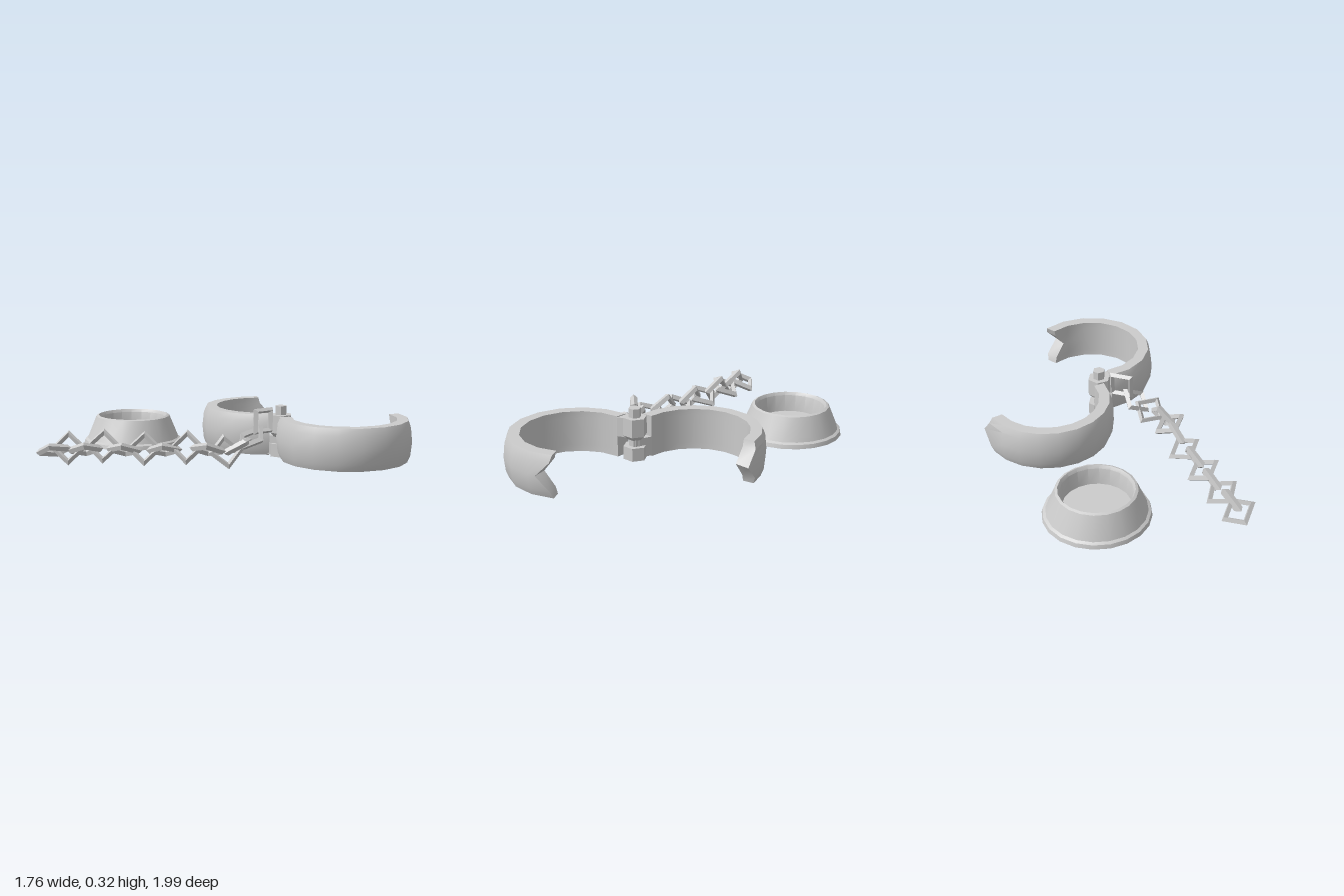
import * as THREE from 'three';
import { toCreasedNormals } from 'three/addons/utils/BufferGeometryUtils.js';

const material = new THREE.MeshStandardMaterial({ color: 0xcccccc });
const doubleSided = new THREE.MeshStandardMaterial({ color: 0xcccccc, side: THREE.DoubleSide });
const rad = THREE.MathUtils.degToRad;

function part(parent, name, geometry, crease = 0.5, mat = material) {
  const mesh = new THREE.Mesh(toCreasedNormals(geometry, crease), mat);
  mesh.name = name;
  parent.add(mesh);
  return mesh;
}

// Curved band swept from angle a0 to a1 (degrees); start and end shift the
// rows of its two end faces to make a notch or a point.
function cuffGeometry(cx, cz, a0, a1, start, end) {
  const ys = [0.015, 0.055, 0.137, 0.22, 0.26];
  const outer = [0.375, 0.391, 0.4, 0.391, 0.375];
  const rows = ys.length, ring = rows * 2, steps = 10;
  const pos = [], index = [];
  for (let i = 0; i <= steps; i++) {
    for (let j = 0; j < ring; j++) {
      const row = j < rows ? j : ring - 1 - j;
      const r = j < rows ? outer[row] : 0.31;
      let a = a0 + ((a1 - a0) * i) / steps;
      if (i === 0) a += start[row];
      if (i === steps) a += end[row];
      pos.push(cx + r * Math.cos(rad(a)), ys[row], cz + r * Math.sin(rad(a)));
    }
  }
  const quad = (a, b, c, d) => index.push(a, b, c, c, b, d);
  for (let i = 0; i < steps; i++)
    for (let j = 0; j < ring; j++) {
      const k = (j + 1) % ring;
      quad(i * ring + j, i * ring + k, (i + 1) * ring + j, (i + 1) * ring + k);
    }
  const last = steps * ring;
  for (let j = 0; j < rows - 1; j++) {
    const inA = ring - 1 - j, inB = ring - 2 - j;
    quad(inA, inB, j, j + 1);
    quad(last + j, last + j + 1, last + inA, last + inB);
  }
  const g = new THREE.BufferGeometry();
  g.setAttribute('position', new THREE.Float32BufferAttribute(pos, 3));
  g.setIndex(index);
  return g;
}

export function createModel() {
  const model = new THREE.Group();
  model.name = 'shackleAndBowl';

  // Open cuffs: one tip is notched, the other pointed to fit it
  const shackle = new THREE.Group();
  shackle.name = 'shackle';
  model.add(shackle);
  const flat = [0, 0, 0, 0, 0];
  part(shackle, 'frontCuff', cuffGeometry(0.515, 0.59, 18, 228, [0, 2, 14, 2, 0], flat));
  part(shackle, 'backCuff', cuffGeometry(0.52, -0.065, 132, 306, flat, [0, 2, 13, 2, 0]));

  // Hinge: lugs reaching from the cuffs to a six-sided pin
  const pin = new THREE.Vector2(0.32, 0.26);
  const lug = (name, x, z, y0, y1) => {
    const dx = pin.x - x, dz = pin.y - z;
    const m = part(shackle, name, new THREE.BoxGeometry(0.066, y1 - y0, Math.hypot(dx, dz) + 0.03));
    m.position.set((x + pin.x) / 2, (y0 + y1) / 2, (z + pin.y) / 2);
    m.rotation.y = Math.atan2(dx, dz);
  };
  lug('frontLug', 0.284, 0.334, 0.14, 0.255);
  lug('backLug', 0.289, 0.191, 0.02, 0.135);
  const hex = (name, rTop, rBottom, y0, y1) => {
    const m = part(shackle, name, new THREE.CylinderGeometry(rTop, rBottom, y1 - y0, 6));
    m.position.set(pin.x, (y0 + y1) / 2, pin.y);
    m.rotation.y = 0.25;
  };
  hex('hingePin', 0.037, 0.037, 0.03, 0.315);
  hex('upperCollar', 0.07, 0.07, 0.155, 0.262);
  hex('upperCollarTaper', 0.07, 0.045, 0.13, 0.155);
  hex('lowerNut', 0.07, 0.07, 0.012, 0.09);

  // Chain of square links, joined corner to corner with alternating roll
  const chain = new THREE.Group();
  chain.name = 'chain';
  model.add(chain);
  const path = [
    [0.17, 0.24, 0.26], [0.075, 0.15, 0.26], [-0.02, 0.11, 0.245], [-0.11, 0.09, 0.24],
    [-0.18, 0.1, 0.16], [-0.26, 0.11, 0.07], [-0.34, 0.09, -0.04], [-0.43, 0.1, -0.11],
    [-0.51, 0.09, -0.2], [-0.59, 0.11, -0.29], [-0.67, 0.09, -0.36], [-0.745, 0.1, -0.42],
    [-0.805, 0.085, -0.485],
  ].map((p) => new THREE.Vector3(...p));
  const linkGeometry = new THREE.TorusGeometry(0.086, 0.021, 4, 4);
  const up = new THREE.Vector3(0, 1, 0);
  path.forEach((p, i) => {
    const before = path[Math.max(i - 1, 0)], after = path[Math.min(i + 1, path.length - 1)];
    const x = after.clone().sub(before).normalize();
    const side = new THREE.Vector3().crossVectors(up, x).normalize();
    const roll = i === 0 ? 90 : i === 1 ? 0 : i % 2 ? -62 : 24;
    const y = side.applyAxisAngle(x, rad(roll));
    const z = new THREE.Vector3().crossVectors(x, y);
    const link = part(chain, 'chainLink', linkGeometry, 0.3);
    link.quaternion.setFromRotationMatrix(new THREE.Matrix4().makeBasis(x, y, z));
    link.position.copy(p);
  });

  // Feeding bowl: flared skirt with a foot lip, hollow below its floor
  const profile = [
    [0, 0.07], [0.195, 0.07], [0.205, 0.17], [0.217, 0.188], [0.232, 0.182],
    [0.288, 0.045], [0.304, 0.036], [0.31, 0.012], [0.292, 0.012], [0.272, 0.04],
    [0.218, 0.165], [0.2, 0.055], [0, 0.055],
  ].map(([r, y]) => new THREE.Vector2(r, y));
  const bowl = part(model, 'bowl', new THREE.LatheGeometry(profile, 20), 0.5, doubleSided);
  bowl.position.set(-0.05, 0, -0.69);

  return model;
}
